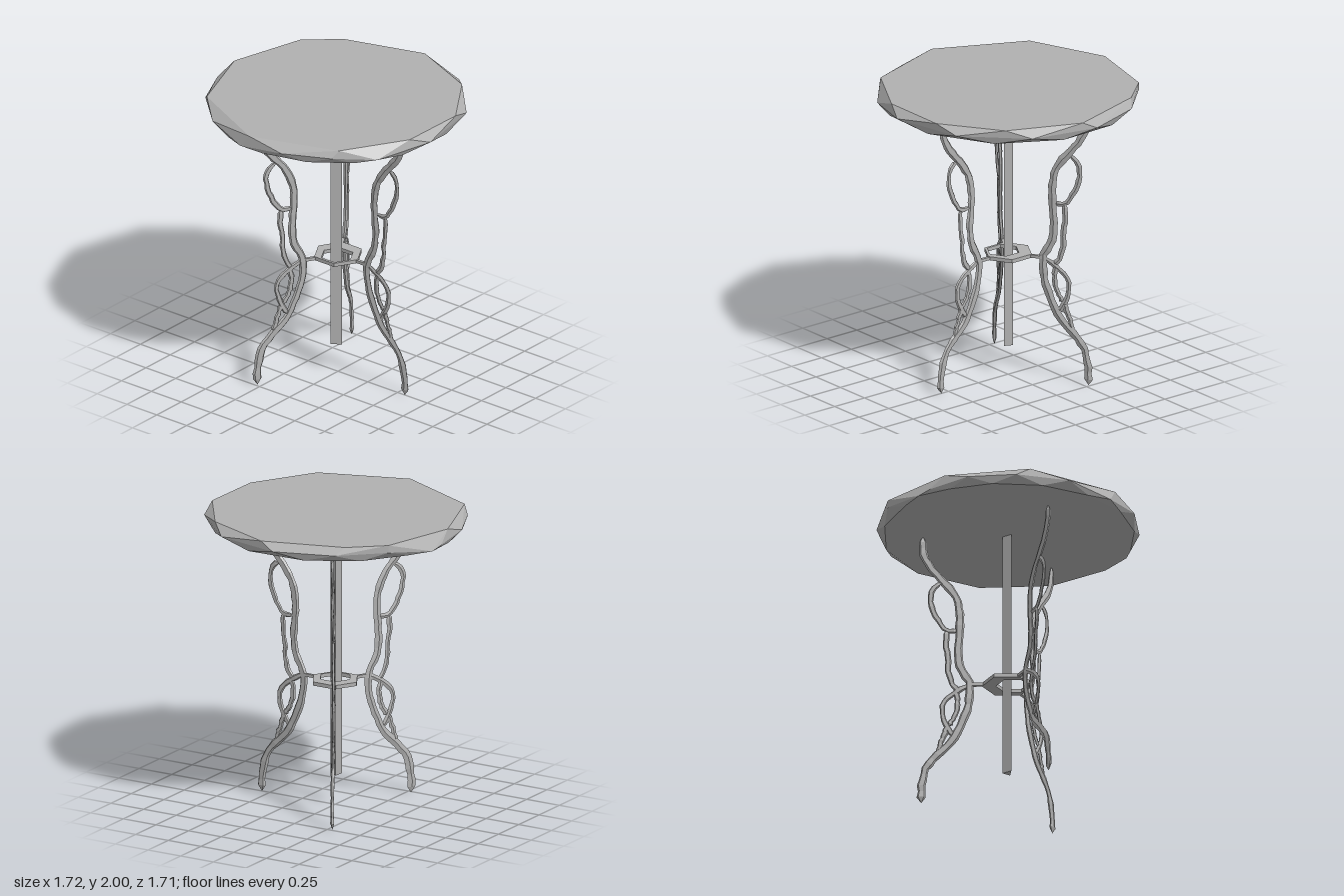
import * as THREE from 'three';
import { ConvexGeometry } from 'three/addons/geometries/ConvexGeometry.js';

const grey = new THREE.MeshStandardMaterial({ color: 0xb0b0b0 });
grey.name = 'stone grey';

let seed = 7;
const rand = () => (seed = (seed * 16807) % 2147483647) / 2147483647;

function part(name, geometry) {
  const g = geometry.index ? geometry.toNonIndexed() : geometry;
  g.computeVertexNormals();
  const mesh = new THREE.Mesh(g, grey);
  mesh.name = name;
  return mesh;
}

// Faceted, flattened vine following [radius from centre, height] points
function vine(name, points, radius, steps) {
  const curve = new THREE.CatmullRomCurve3(points.map(([r, y]) => new THREE.Vector3(r, y, 0)));
  const sides = 5;
  const geo = new THREE.TubeGeometry(curve, steps, radius, sides, false);
  const pos = geo.attributes.position;
  const v = new THREE.Vector3();
  for (let i = 0; i <= steps; i++) {
    const c = curve.getPointAt(i / steps);
    const end = i === 0 || i === steps;
    const swell = end ? 0.001 : 0.85 + 0.3 * rand();
    const lean = end ? 0 : (rand() - 0.5) * 0.008;
    for (let j = 0; j <= sides; j++) {
      const k = i * (sides + 1) + j;
      v.fromBufferAttribute(pos, k).sub(c).multiplyScalar(swell).add(c);
      pos.setXYZ(k, v.x + lean, Math.max(0, v.y), v.z * 0.45);
    }
  }
  return part(name, geo);
}

// Main stem and side shoots of one leg
const stem = [[0.55, 1.91], [0.545, 1.8], [0.5, 1.69], [0.42, 1.59], [0.34, 1.48], [0.307, 1.36], [0.312, 1.2],
  [0.318, 1.08], [0.3, 0.96], [0.25, 0.87], [0.243, 0.78], [0.265, 0.66], [0.305, 0.55], [0.365, 0.44],
  [0.45, 0.35], [0.525, 0.26], [0.555, 0.15], [0.56, 0.0]];
const shoots = {
  upperLoop: [[0.42, 1.58], [0.475, 1.55], [0.5, 1.47], [0.475, 1.36], [0.425, 1.27], [0.395, 1.235], [0.31, 1.235]],
  middleShoot: [[0.395, 1.245], [0.4, 1.14], [0.385, 1.03], [0.38, 0.92], [0.345, 0.83], [0.31, 0.8]],
  outerLowerLoop: [[0.24, 0.85], [0.31, 0.81], [0.38, 0.76], [0.425, 0.7], [0.418, 0.62], [0.39, 0.54], [0.34, 0.47]],
  innerLowerLoop: [[0.33, 0.8], [0.325, 0.7], [0.345, 0.62], [0.385, 0.55]],
  lowerShoot: [[0.39, 0.55], [0.415, 0.48], [0.435, 0.42], [0.45, 0.34]],
};

function makeLeg(name, angle) {
  const leg = new THREE.Group();
  leg.name = name;
  leg.add(vine('stem', stem, 0.028, 50));
  for (const [key, pts] of Object.entries(shoots)) leg.add(vine(key, pts, 0.019, 14));
  // short tie from the leg to the central ring
  const tie = part('ringTie', new THREE.BoxGeometry(0.12, 0.02, 0.02));
  tie.position.set(0.19, 0.845, 0);
  leg.add(tie);
  leg.rotation.y = angle;
  return leg;
}

// Chipped stone top: hull of an upper face, a wider rim and a lower face
function makeTop() {
  const upper = [[0.83, 0.05], [0.625, 0.53], [0.235, 0.795], [-0.23, 0.79], [-0.65, 0.54], [-0.85, -0.05],
    [-0.565, -0.64], [-0.035, -0.84], [0.48, -0.705], [0.665, -0.49]];
  const rim = [[0.855, -0.05], [0.725, -0.445], [0.48, -0.705], [0.16, -0.845, 1.9], [0.07, -0.855, 1.92],
    [-0.21, -0.84], [-0.5, -0.705], [-0.745, -0.445], [-0.86, -0.12, 1.915], [-0.84, 0.21], [-0.695, 0.51],
    [-0.47, 0.715, 1.92], [-0.095, 0.853], [0.395, 0.757], [0.75, 0.405]];
  const pts = upper.map(([x, z]) => new THREE.Vector3(x, 2, z));
  rim.forEach(([x, z, y = 1.95], i) => {
    const [nx, nz] = rim[(i + 1) % rim.length];
    pts.push(new THREE.Vector3(x, y, z));
    pts.push(new THREE.Vector3((x + nx) * 0.49, 1.9, (z + nz) * 0.49));
  });
  return part('tableTop', new ConvexGeometry(pts));
}

// Flat six-sided ring with an off-centre hole
function makeRing() {
  const hexagon = (Path, cx, r) => new Path().setFromPoints(Array.from({ length: 6 }, (_, i) =>
    new THREE.Vector2(cx + r * Math.cos(i * Math.PI / 3), r * Math.sin(i * Math.PI / 3))));
  const shape = hexagon(THREE.Shape, 0, 0.165);
  shape.holes.push(hexagon(THREE.Path, -0.035, 0.11));
  const geo = new THREE.ExtrudeGeometry(shape, { depth: 0.025, bevelEnabled: false });
  geo.rotateX(-Math.PI / 2).rotateY(Math.PI / 6).translate(0, 0.832, 0);
  return part('centreRing', geo);
}

// Three-sided post hanging below the top
function makePost() {
  const shape = new THREE.Shape();
  shape.moveTo(0, -0.035).lineTo(0.025, 0.02).lineTo(-0.045, 0.025).closePath();
  const geo = new THREE.ExtrudeGeometry(shape, { depth: 1.7, bevelEnabled: false });
  geo.rotateX(-Math.PI / 2).translate(0, 0.205, 0);
  return part('centrePost', geo);
}

export function createModel() {
  const table = new THREE.Group();
  table.name = 'table';
  table.add(makeTop(), makeRing(), makePost());
  ['frontLeg', 'backLeftLeg', 'backRightLeg'].forEach((name, i) =>
    table.add(makeLeg(name, -Math.PI / 2 + i * Math.PI * 2 / 3)));
  return table;
}
